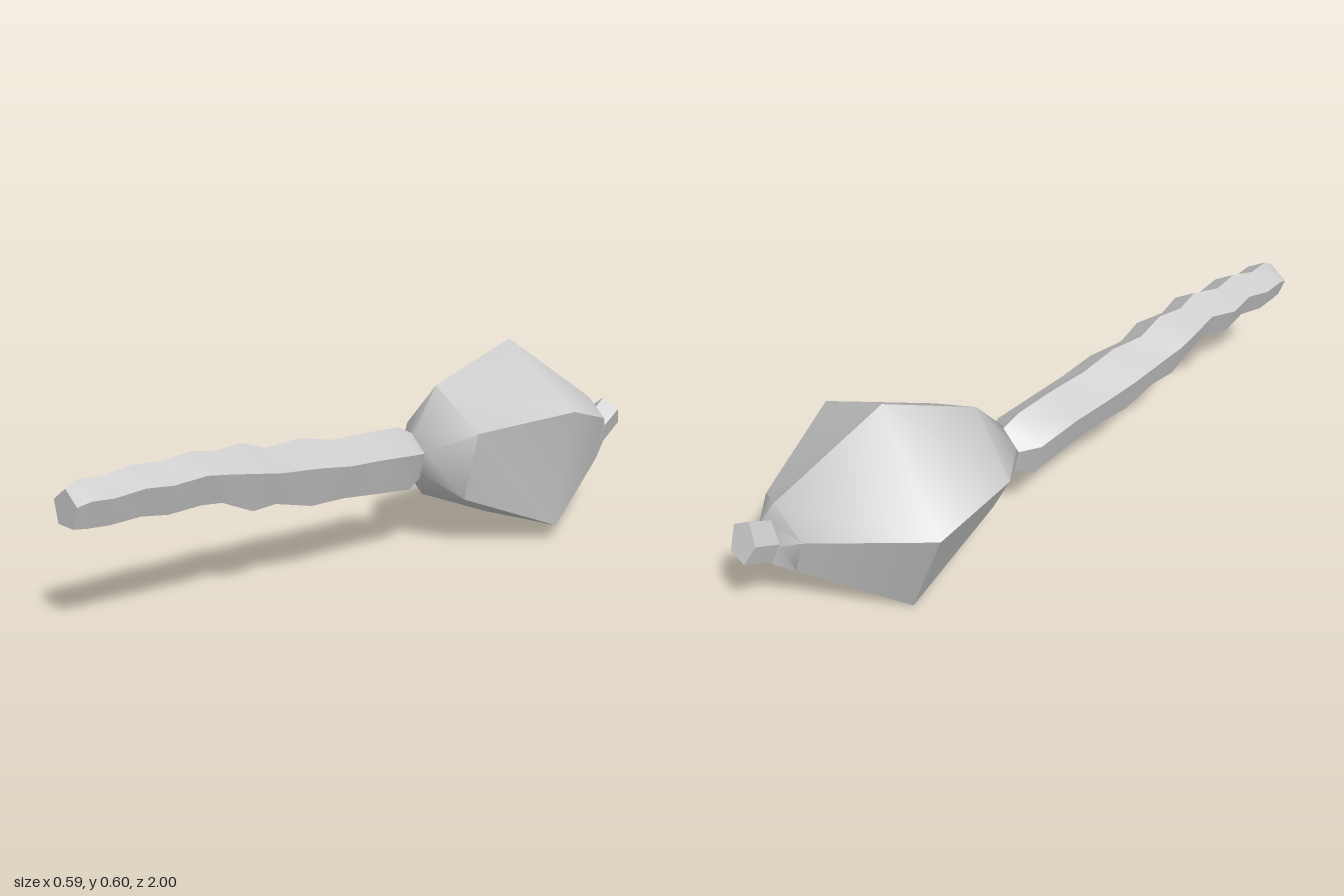
import * as THREE from 'three';
import { toCreasedNormals } from 'three/addons/utils/BufferGeometryUtils.js';

const SIDES = 5;

// Closed skin over five-sided rings, ordered from front (+z) to back
function loft(name, rings, crease = 0.9) {
  const pos = rings.flat(2);
  const index = [];
  for (let r = 0; r < rings.length - 1; r++) {
    for (let i = 0; i < SIDES; i++) {
      const j = (i + 1) % SIDES;
      const a = r * SIDES + i, b = r * SIDES + j;
      index.push(a, b, b + SIDES, a, b + SIDES, a + SIDES);
    }
  }
  // flat end caps
  const last = (rings.length - 1) * SIDES;
  for (let i = 1; i < SIDES - 1; i++) {
    index.push(0, i + 1, i);
    index.push(last, last + i, last + i + 1);
  }
  const geometry = new THREE.BufferGeometry();
  geometry.setAttribute('position', new THREE.Float32BufferAttribute(pos, 3));
  geometry.setIndex(index);
  const mesh = new THREE.Mesh(
    toCreasedNormals(geometry, crease),
    new THREE.MeshStandardMaterial({ color: 0xcccccc })
  );
  mesh.name = name;
  return mesh;
}

// Pentagon with its point up, fitted between the given limits and leaning in z
function pentagon(z, left, right, bottom, top, leanX = 0, leanY = 0) {
  const rx = (right - left) / 2 / 0.951, ry = (top - bottom) / 1.809;
  const cx = (left + right) / 2, cy = top - ry;
  return Array.from({ length: SIDES }, (_, i) => {
    const a = (i * Math.PI * 2) / SIDES;
    const dx = Math.sin(a) * rx, dy = Math.cos(a) * ry;
    return [cx + dx, cy + dy, z + dx * leanX + dy * leanY];
  });
}

export function createModel() {
  const group = new THREE.Group();

  // Long knobbly handle: z, left, right, bottom, top
  const handle = [
    [0.985, -0.297, -0.18, 0.283, 0.38],
    [0.95, -0.299, -0.166, 0.28, 0.4],
    [0.88, -0.294, -0.162, 0.275, 0.395],
    [0.8, -0.277, -0.135, 0.285, 0.412],
    [0.71, -0.28, -0.132, 0.271, 0.405],
    [0.62, -0.254, -0.103, 0.283, 0.42],
    [0.54, -0.256, -0.11, 0.272, 0.405],
    [0.45, -0.26, -0.076, 0.235, 0.414],
    [0.36, -0.245, -0.084, 0.236, 0.386],
    [0.24, -0.241, -0.055, 0.21, 0.395],
    [0.12, -0.222, -0.044, 0.21, 0.372],
    [0, -0.209, -0.035, 0.199, 0.373],
    [-0.15, -0.201, -0.021, 0.186, 0.368],
    [-0.205, -0.16, -0.04, 0.21, 0.34],
  ];
  group.add(loft('handle', handle.map((r) => pentagon(...r, 0.15, -0.05))));

  // Faceted bulb: top, right, lower right, lower left, left corner of each ring
  group.add(loft('bulb', [
    pentagon(-0.2, -0.15, -0.03, 0.225, 0.34, 0.2),
    [[-0.1, 0.475, -0.32], [0.11, 0.36, -0.26], [0.06, 0.15, -0.26], [-0.13, 0.13, -0.29], [-0.255, 0.33, -0.37]],
    [[-0.02, 0.598, -0.59], [0.295, 0.415, -0.495], [0.228, 0.045, -0.51], [-0.13, 0.002, -0.63], [-0.283, 0.34, -0.675]],
    [[0.11, 0.385, -0.865], [0.205, 0.335, -0.81], [0.165, 0.19, -0.83], [0.06, 0.18, -0.86], [0.0, 0.32, -0.88]],
    pentagon(-0.895, 0.06, 0.165, 0.23, 0.33, 0.2, 0.3),
  ]));

  // Short stub at the back, cut off at a slant
  group.add(loft('stub', [
    pentagon(-0.87, 0.065, 0.165, 0.22, 0.32, 0.2, 0.3),
    pentagon(-0.972, 0.062, 0.172, 0.287, 0.372, 0.25, 0.6),
  ], 0.5));

  return group;
}
